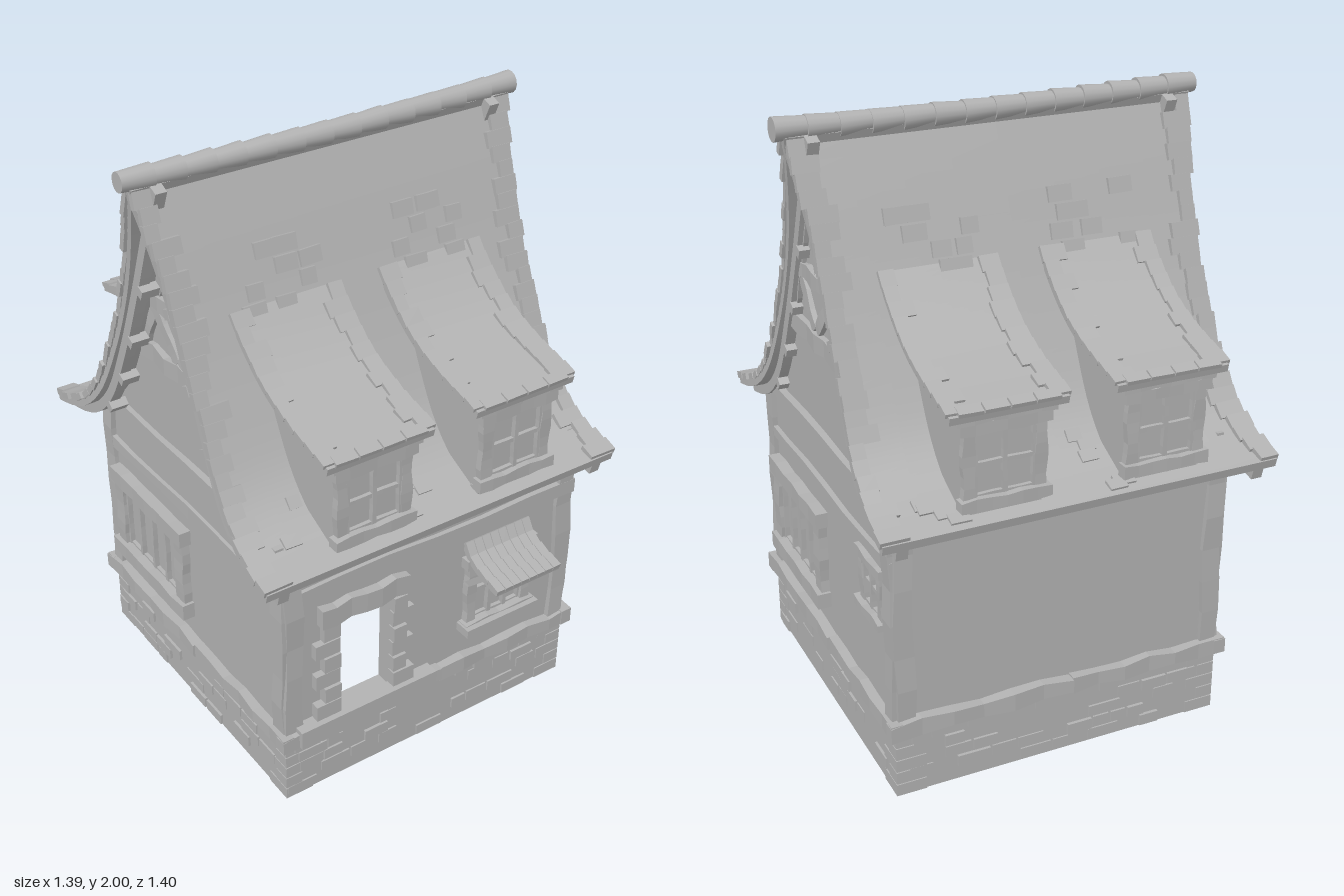
import * as THREE from 'three';

const stone = new THREE.MeshStandardMaterial({ color: 0xb2b2b2 });
stone.name = 'plain grey';

// Small seeded random
let seed = 7;
const rnd = (a = 0, b = 1) => {
  seed = (seed * 16807) % 2147483647;
  return a + (b - a) * (seed / 2147483647);
};

function add(parent, name, geo) {
  const m = new THREE.Mesh(geo, stone);
  m.name = name;
  parent.add(m);
  return m;
}

function group(parent, name) {
  const g = new THREE.Group();
  g.name = name;
  parent.add(g);
  return g;
}

// Plain block from its limits
function block(parent, name, x0, x1, y0, y1, z0, z1) {
  const m = add(parent, name, new THREE.BoxGeometry(x1 - x0, y1 - y0, z1 - z0));
  m.position.set((x0 + x1) / 2, (y0 + y1) / 2, (z0 + z1) / 2);
  return m;
}

// Hand-hewn timber between two points of a facade, uneven along its length
function beam(parent, name, ax, ay, bx, by, width, depth, rough = 0.006) {
  const len = Math.hypot(bx - ax, by - ay);
  const geo = new THREE.BoxGeometry(len, width, depth, 6, 1, 1);
  const p = geo.attributes.position;
  const s = rnd(0, 50);
  for (let i = 0; i < p.count; i++) {
    const x = p.getX(i), y = p.getY(i), z = p.getZ(i);
    p.setY(i, y + rough * Math.sin(x * 43 + s + y * 90));
    p.setZ(i, z + (z > 0 ? rough * 0.6 * Math.sin(x * 31 + s * 2) : 0));
  }
  const flat = geo.toNonIndexed();
  flat.computeVertexNormals();
  const m = add(parent, name, flat);
  m.position.set((ax + bx) / 2, (ay + by) / 2, depth / 2 - 0.005);
  m.rotation.z = Math.atan2(by - ay, bx - ax);
  return m;
}

// Curve in the y/z plane from [z, y] pairs
const curveOf = (pts) => new THREE.CatmullRomCurve3(pts.map(([z, y]) => new THREE.Vector3(0, y, z)));

// Board bent along a curve; top face lies "drop" below the curve
function bentBoard(parent, name, curve, x0, x1, thick, drop = 0, widen = () => 1) {
  const geo = new THREE.BoxGeometry(1, 1, 1, 8, 1, 28);
  const p = geo.attributes.position;
  for (let i = 0; i < p.count; i++) {
    const t = p.getZ(i) + 0.5;
    const c = curve.getPointAt(t), d = curve.getTangentAt(t);
    const off = (p.getY(i) - 0.5) * thick - drop;
    const x = THREE.MathUtils.lerp(x0, x1, p.getX(i) + 0.5) * widen(c.y);
    p.setXYZ(i, x, c.y + d.z * off, c.z - d.y * off);
  }
  geo.computeVertexNormals();
  return add(parent, name, geo);
}

// One tile lying on a curve
function tile(parent, curve, t, x, w, len, thick = 0.014) {
  const c = curve.getPointAt(t), d = curve.getTangentAt(t);
  const m = add(parent, 'roofTile', new THREE.BoxGeometry(w, thick, len));
  m.position.set(x, c.y + d.z * 0.004, c.z - d.y * 0.004);
  m.rotation.x = Math.atan2(-d.y, d.z) + 0.1;
  m.rotation.y = rnd(-0.03, 0.03);
}

// Outline in [z, y] extruded across x
function sidePlate(parent, name, pts, x0, x1) {
  const shape = new THREE.Shape(pts.map(([z, y]) => new THREE.Vector2(z, y)));
  const geo = new THREE.ExtrudeGeometry(shape, { depth: x1 - x0, bevelEnabled: false });
  geo.rotateY(-Math.PI / 2).translate(x1, 0, 0);
  return add(parent, name, geo);
}

// Framed window facing local +z
function windowUnit(parent, name, x0, x1, y0, y1, border, cols, rows, depth = 0.035) {
  const g = group(parent, name), b = border / 2;
  beam(g, 'sill', x0 - 0.012, y0 + b, x1 + 0.012, y0 + b, border, depth + 0.015, 0.003);
  beam(g, 'lintel', x0 - 0.012, y1 - b, x1 + 0.012, y1 - b, border, depth + 0.01, 0.003);
  for (const x of [x0 + b, x1 - b]) beam(g, 'jamb', x, y0 + border, x, y1 - border, border, depth, 0.003);
  const ix = x0 + border, iy = y0 + border, iw = x1 - x0 - 2 * border, ih = y1 - y0 - 2 * border;
  for (let i = 0; i <= cols; i++) beam(g, 'mullion', ix + iw * i / cols, iy, ix + iw * i / cols, iy + ih, 0.014, 0.022, 0.001);
  for (let i = 0; i <= rows; i++) beam(g, 'glazingBar', ix, iy + ih * i / rows, ix + iw, iy + ih * i / rows, 0.014, 0.018, 0.001);
  return g;
}

// Stone footing, raised bricks, ledge and corner posts shared by every facade
function facade(parent, name, x, z, turn) {
  const g = group(parent, name);
  g.position.set(x, 0, z);
  g.rotation.y = turn;
  block(g, 'footing', -0.558, 0.558, 0, 0.23, -0.03, 0.008);
  for (let r = 0; r < 5; r++) {
    for (let u = -0.555 + rnd(0, 0.05); u < 0.44;) {
      const w = rnd(0.06, 0.12);
      if (rnd() < 0.5) block(g, 'brick', u, u + w - 0.008, r * 0.044 + 0.006, r * 0.044 + 0.044, 0, rnd(0.012, 0.019));
      u += w;
    }
    for (const s of [-1, 1]) {
      const w = r % 2 ? 0.06 : 0.1;
      block(g, 'cornerStone', s > 0 ? 0.562 - w : -0.562, s > 0 ? 0.562 : w - 0.562, r * 0.044, r * 0.044 + 0.04, 0, 0.012);
    }
  }
  for (const s of [-1, 1]) beam(g, 'cornerPost', s * 0.528, 0.26, s * 0.528, 0.95, 0.06, 0.022);
  beam(g, 'ledge', -0.585, 0.246, 0.03, 0.246, 0.052, 0.04);
  beam(g, 'ledge', 0.03, 0.242, 0.585, 0.242, 0.05, 0.036);
  return g;
}

const roofCurve = curveOf([[0, 1.95], [0.08, 1.76], [0.165, 1.55], [0.27, 1.315], [0.385, 1.105], [0.48, 1.01], [0.57, 0.965], [0.665, 0.94]]);
const dormerCurve = curveOf([[0.15, 1.565], [0.25, 1.465], [0.35, 1.39], [0.48, 1.335], [0.665, 1.29]]);
const flare = (y) => 1 + (y > 1.45 ? 0.08 : 0.05) * ((y - 1.45) / 0.5) ** 2;

function dormer(parent, cx) {
  const g = group(parent, 'dormer');
  g.position.x = cx;
  sidePlate(g, 'dormerWalls', [[0.615, 0.95], [0.615, 1.28], [0.48, 1.32], [0.35, 1.375], [0.22, 1.46], [0.22, 1.38], [0.4, 1.05]], -0.125, 0.125);
  bentBoard(g, 'dormerRoof', dormerCurve, -0.185, 0.185, 0.025);
  for (let i = 0; i < 11; i++) {
    for (const s of [-1, 1]) {
      const w = rnd(0.04, 0.085);
      tile(g, dormerCurve, 0.08 + i * 0.086, s * (0.193 - w / 2), w, 0.052);
    }
  }
  for (let i = 0; i < 4; i++) tile(g, dormerCurve, 0.975, -0.12 + i * 0.08, 0.075, 0.035);
  const face = group(g, 'dormerFace');
  face.position.z = 0.615;
  windowUnit(face, 'dormerWindow', -0.132, 0.132, 0.975, 1.25, 0.038, 2, 2, 0.024);
  beam(face, 'dormerHeader', -0.155, 1.265, 0.155, 1.265, 0.03, 0.04, 0.003);
  // scattered tiles on the slope above
  for (let i = 0; i < 9; i++) tile(parent, roofCurve, 0.22 + (i % 4) * 0.045, cx + rnd(-0.12, 0.12), rnd(0.05, 0.08), 0.05);
}

function roofHalf(parent) {
  const g = group(parent, 'roofHalf');
  bentBoard(g, 'roofSlope', roofCurve, -0.618, 0.618, 0.03, 0, flare);
  for (let i = 0; i < 25; i++) {
    const t = 0.04 + i * 0.039;
    const half = 0.622 * flare(roofCurve.getPointAt(t).y);
    for (const s of [-1, 1]) {
      const w = rnd(0.045, 0.1);
      tile(g, roofCurve, Math.min(t, 0.985), s * (half + rnd(-0.004, 0.008) - w / 2), w, 0.052, 0.022);
    }
  }
  for (let i = 0; i < 12; i++) tile(g, roofCurve, rnd(0.8, 0.97), rnd(-0.5, 0.5), rnd(0.04, 0.07), 0.04, 0.01);
  for (const s of [-1, 1]) {
    bentBoard(g, 'bargeBoard', roofCurve, s > 0 ? 0.57 : -0.607, s > 0 ? 0.607 : -0.57, 0.034, 0.03);
    // purlin ends below the verge
    for (const t of [0.14, 0.31, 0.49, 0.64, 0.77]) {
      const c = roofCurve.getPointAt(t), d = roofCurve.getTangentAt(t);
      const m = add(g, 'purlinEnd', new THREE.BoxGeometry(0.06, 0.03, 0.032));
      m.position.set(s * 0.58, c.y - d.z * 0.075, c.z + d.y * 0.075);
      m.rotation.x = Math.atan2(-d.y, d.z);
    }
  }
  dormer(g, -0.26);
  dormer(g, 0.265);
  return g;
}

function sideFacade(parent, name, x, turn, smallWindow) {
  const g = facade(parent, name, x, -0.025, turn);
  beam(g, 'midRail', -0.555, 0.787, 0.555, 0.787, 0.042, 0.02);
  beam(g, 'topRail', -0.53, 0.965, 0.545, 0.965, 0.046, 0.026);
  windowUnit(g, 'wideWindow', -0.485, -0.025, 0.35, 0.7, 0.055, 4, 1);
  if (smallWindow) windowUnit(g, 'smallWindow', 0.315, 0.49, 0.555, 0.76, 0.028, 2, 2, 0.025);
  // gable timbers
  beam(g, 'tieBeam', -0.23, 1.295, 0.23, 1.295, 0.058, 0.025);
  beam(g, 'collarBeam', -0.145, 1.495, 0.145, 1.495, 0.05, 0.025);
  for (const s of [-1, 1]) {
    beam(g, 'brace', s * 0.01, 1.33, s * 0.13, 1.47, 0.04, 0.02, 0.003);
    beam(g, 'gableRafter', s * 0.12, 1.5, s * 0.015, 1.78, 0.032, 0.02, 0.003);
    beam(g, 'lowerStrut', s * 0.21, 1.31, s * 0.135, 1.47, 0.034, 0.02, 0.003);
  }
}

export function createModel() {
  const model = new THREE.Group();
  model.name = 'cottage';

  // Hollow walls with an open doorway
  const walls = group(model, 'walls');
  const front = new THREE.Shape([[-0.525, 0], [0.575, 0], [0.575, 0.95], [-0.525, 0.95]].map((p) => new THREE.Vector2(...p)));
  front.holes.push(new THREE.Path([[-0.34, 0.28], [-0.34, 0.645], [-0.14, 0.645], [-0.14, 0.28]].map((p) => new THREE.Vector2(...p))));
  add(walls, 'frontWall', new THREE.ExtrudeGeometry(front, { depth: 0.05, bevelEnabled: false })).position.z = 0.475;
  block(walls, 'backWall', -0.525, 0.575, 0, 0.95, -0.575, -0.525);
  const arc = roofCurve.getPoints(20).filter((p) => p.z < 0.53).map((p) => [p.z, p.y - 0.03]);
  const gable = [[-0.55, 0], [0.55, 0], [0.55, 0.945], ...arc.slice().reverse(), ...arc.slice(1).map(([z, y]) => [-z, y]), [-0.55, 0.945]];
  for (const [x0, x1] of [[-0.525, -0.475], [0.525, 0.575]]) sidePlate(walls, 'gableWall', gable, x0, x1).position.z = -0.026;

  // Front with doorway, window and tiled awning
  const f = facade(model, 'frontFacade', 0.025, 0.525, 0);
  beam(f, 'midRail', -0.555, 0.787, 0.56, 0.787, 0.042, 0.022);
  const door = group(f, 'doorway');
  door.position.x = -0.025;
  block(door, 'doorStep', -0.5, 0.02, 0.222, 0.288, 0, 0.05);
  beam(door, 'doorLintel', -0.41, 0.68, -0.08, 0.68, 0.07, 0.035);
  for (let i = 0; i < 6; i++) {
    const y = 0.288 + i * 0.06, w = i % 2 ? 0.06 : 0.09;
    block(door, 'doorStone', -0.34 - w, -0.34, y, y + 0.055, -0.04, rnd(0.02, 0.032));
    block(door, 'doorStone', -0.14, -0.15 + w, y, y + 0.055, -0.04, rnd(0.02, 0.032));
  }
  const win = group(f, 'awningWindow');
  win.position.x = -0.025;
  windowUnit(win, 'frontWindow', 0.155, 0.415, 0.375, 0.665, 0.035, 3, 2, 0.03);
  block(win, 'windowLedge', 0.135, 0.43, 0.375, 0.405, 0, 0.06);
  const awning = curveOf([[0, 0.715], [0.04, 0.67], [0.1, 0.645], [0.172, 0.63]]);
  bentBoard(win, 'awningBoard', awning, 0.15, 0.405, 0.015);
  for (let r = 0; r < 4; r++) {
    for (let c = 0; c < 8; c++) tile(win, awning, 0.12 + r * 0.25, 0.164 + c * 0.0325, 0.03, 0.055);
  }
  for (const x of [0.165, 0.395]) {
    const b = add(win, 'awningBracket', new THREE.BoxGeometry(0.02, 0.02, 0.13));
    b.position.set(x, 0.595, 0.05);
    b.rotation.x = -0.75;
  }

  // Back panel
  const back = facade(model, 'backFacade', 0.025, -0.575, Math.PI);
  beam(back, 'topRail', -0.55, 0.89, 0.55, 0.89, 0.045, 0.02);

  sideFacade(model, 'leftFacade', 0.575, Math.PI / 2, true);
  sideFacade(model, 'rightFacade', -0.525, -Math.PI / 2, false);

  // Sweeping roof, both slopes, with ridge tiles
  const roof = group(model, 'roof');
  roof.position.z = -0.028;
  roofHalf(roof);
  roofHalf(roof).rotation.y = Math.PI;
  for (let i = 0; i < 14; i++) {
    const x = -0.64 + i * 0.0985;
    const m = add(roof, 'ridgeTile', new THREE.CylinderGeometry(0.031, 0.037, 0.105, 14));
    m.position.set(x, 1.95 + 0.012 * (x / 0.69) ** 2, 0);
    m.rotation.z = Math.PI / 2 + rnd(-0.03, 0.03);
  }
  return model;
}
